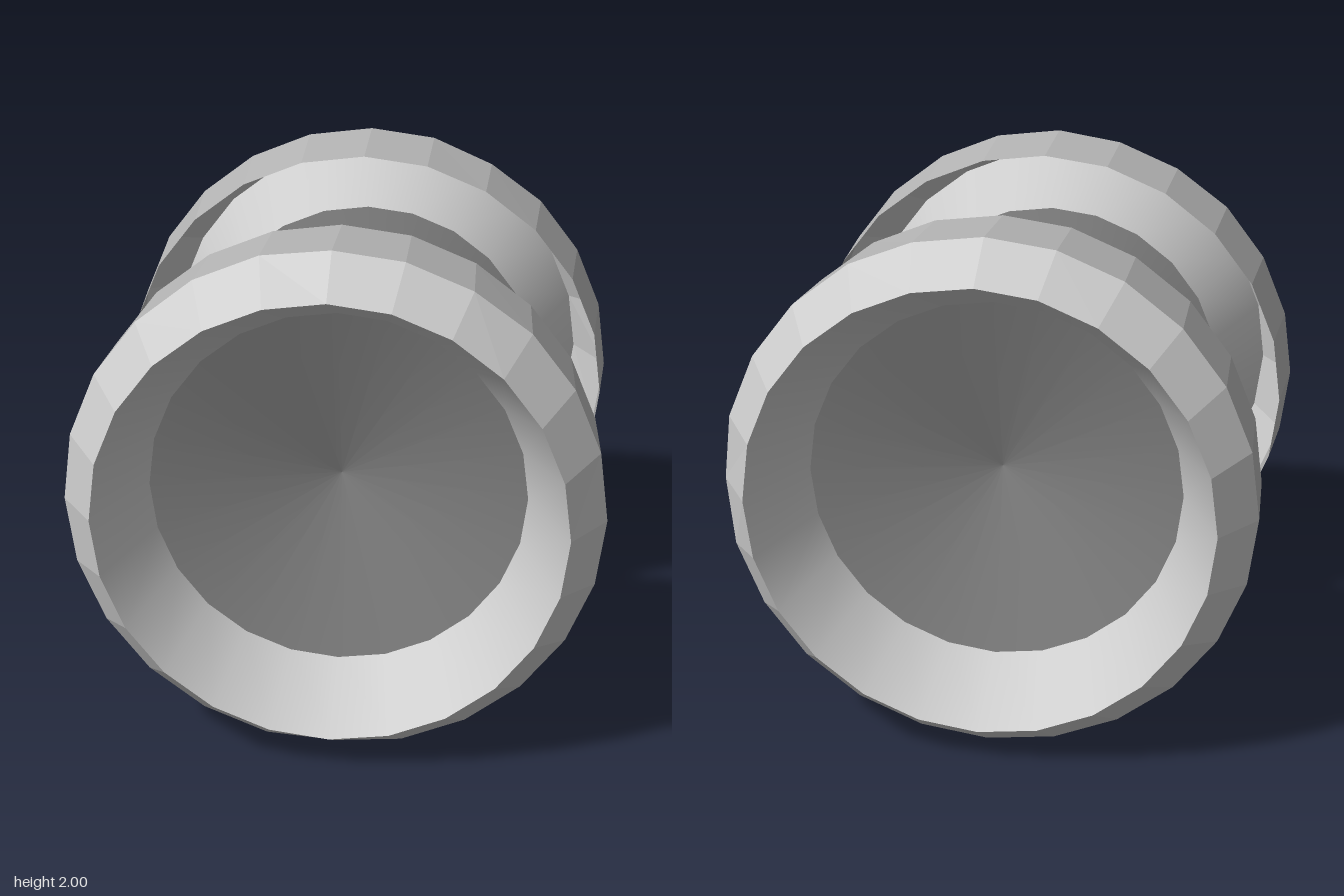
import * as THREE from 'three';

const SIDES = 24;
const SHOULDER_Z = 0.775;

// Revolves a [radius, depth] profile around z; depth grows outward from the model's middle.
// The shoulder corners at the dented angles (degrees) are pushed slightly inward.
function revolve(profile, side, dents) {
  const points = profile.map(([r, z]) => new THREE.Vector2(r, z));
  const geometry = new THREE.LatheGeometry(points, SIDES).rotateX(side * Math.PI / 2);
  const p = geometry.attributes.position;
  for (let i = 0; i < p.count; i++) {
    const deg = (Math.round(THREE.MathUtils.radToDeg(Math.atan2(p.getY(i), p.getX(i)))) + 360) % 360;
    if (Math.abs(p.getZ(i) * side - SHOULDER_Z) < 0.01 && dents.includes(deg)) p.setZ(i, side * 0.755);
  }
  return geometry;
}

function createWheel(name, side, dents) {
  const wheel = new THREE.Group();
  wheel.name = name;
  const add = (part, profile, color, flatShading) => {
    const material = new THREE.MeshStandardMaterial({ color, flatShading, side: THREE.DoubleSide });
    const mesh = new THREE.Mesh(revolve(profile, side, dents), material);
    mesh.name = part;
    wheel.add(mesh);
  };

  // Thin tread band, open toward the middle, and its bevelled shoulder
  add('tread', [[0.98, 0.43], [1, SHOULDER_Z]], 0xb4b4b4, true);
  add('shoulder', [[1, SHOULDER_Z], [0.87, 0.96]], 0xcccccc, true);
  // Recessed rim wall and the darker hub dish, a cone sinking toward the middle
  add('rimWall', [[0.87, 0.96], [0.71, 0.62]], 0xbcbcbc, false);
  add('hubDish', [[0.71, 0.62], [0, 0.45]], 0x808080, false);

  wheel.position.y = 1;
  return wheel;
}

export function createModel() {
  const model = new THREE.Group();
  model.name = 'wheelPair';
  model.add(createWheel('frontWheel', 1, [15, 30, 45, 105, 120, 270]));
  model.add(createWheel('backWheel', -1, [0, 60]));
  return model;
}
